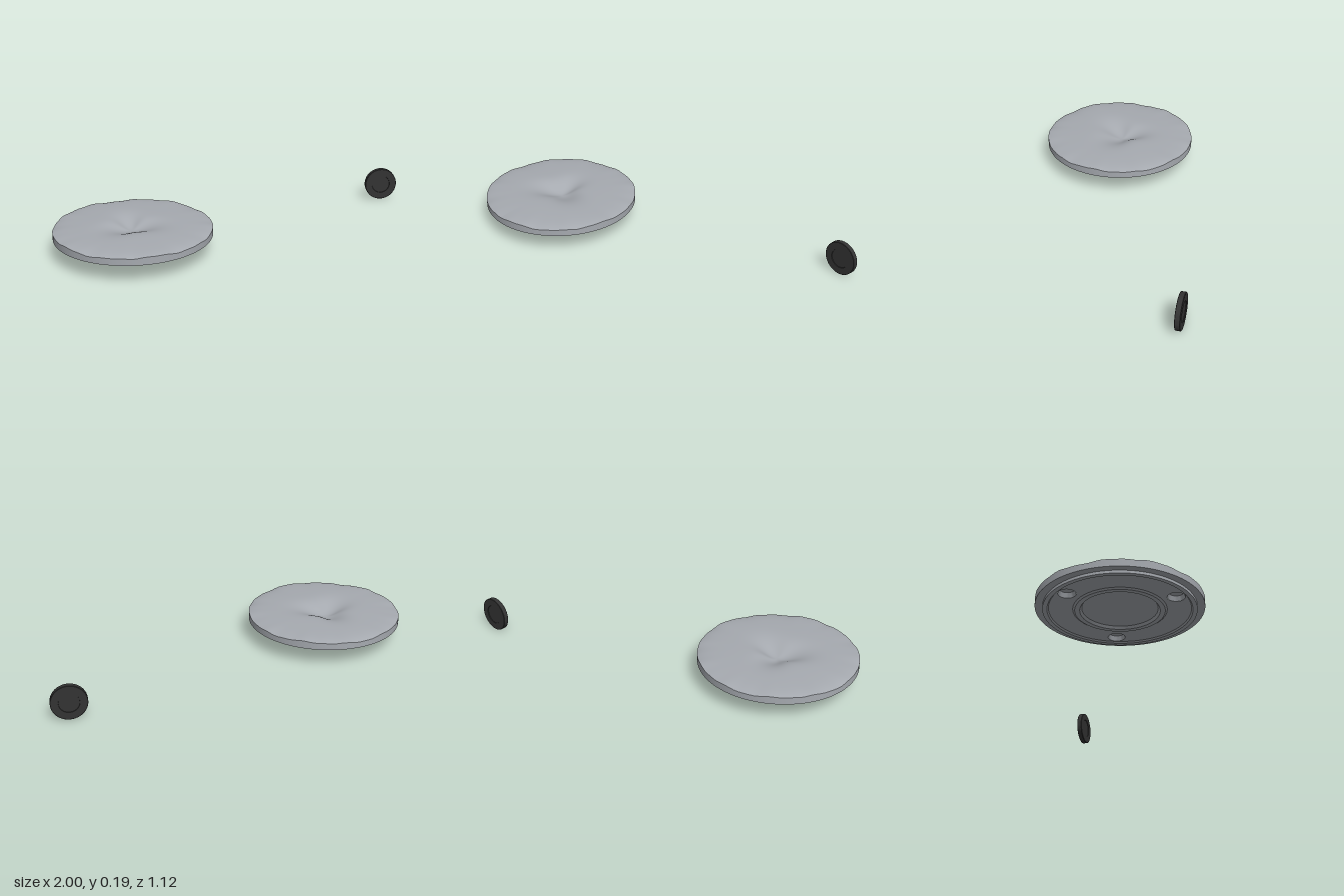
import * as THREE from 'three';
import { toCreasedNormals } from 'three/addons/utils/BufferGeometryUtils.js';

const R = 0.423;        // coaster radius
const FLOOR = 0.093;    // height of the underside floor
const SEG = 96;

const lathe = (points, seg = SEG) =>
  new THREE.LatheGeometry(points.map(([r, y]) => new THREE.Vector2(r, y)), seg);

// Height of the hand-worn top: shallow dome, ragged rim, off-centre dent
function topHeight(x, z) {
  const r = Math.hypot(x, z) / R;
  const a = Math.atan2(z, x);
  const dome = 0.16 - 0.013 * r ** 2 - 0.010 * r ** 12;
  const ragged = r ** 8 * (0.003 * Math.sin(5 * a + 1) + 0.0025 * Math.sin(11 * a) + 0.0015 * Math.sin(23 * a));
  const dx = x + 0.01, dz = z + 0.015;
  const da = Math.atan2(dz, dx);
  const size = 0.11 + 0.022 * Math.cos(3 * da - 0.9) + 0.012 * Math.sin(da);
  return dome + ragged - 0.05 * Math.exp(-((Math.hypot(dx, dz) / size) ** 2));
}

// Moves every vertex above the given height onto the worn top
function wear(geometry, above) {
  const p = geometry.attributes.position;
  for (let i = 0; i < p.count; i++) {
    if (p.getY(i) > above) p.setY(i, topHeight(p.getX(i), p.getZ(i)));
  }
  geometry.computeVertexNormals();
  return geometry;
}

export function createModel() {
  const model = new THREE.Group();
  const stone = new THREE.MeshStandardMaterial({ color: 0xa6aab0 });
  stone.name = 'grey stone';
  const black = new THREE.MeshStandardMaterial({ color: 0x333333 });
  black.name = 'black';

  const add = (parent, name, geometry, material) => {
    const mesh = new THREE.Mesh(geometry, material);
    mesh.name = name;
    parent.add(mesh);
    return mesh;
  };

  // Large round plate
  const plate = new THREE.Group();
  plate.name = 'plate';
  plate.position.set(-0.577, 0, 0.137);
  model.add(plate);

  // Worn top, laid in rings from the rim to the middle
  const rings = [];
  for (let i = 0; i <= 36; i++) rings.push([R * (1 - i / 36), 0.15]);
  add(plate, 'wornTop', wear(lathe(rings), 0), stone);

  // Side wall, step and foot ring
  const side = lathe([[0.355, FLOOR], [0.362, 0.085], [0.385, 0.085], [0.385, 0.1], [R, 0.1], [R, 0.14]]);
  add(plate, 'sideAndFootRing', toCreasedNormals(wear(side, 0.12), 0.4), stone);

  // Central recess with a raised lip
  const recess = lathe([[0, 0.1], [0.19, 0.1], [0.2, 0.086], [0.225, 0.086], [0.235, FLOOR]]);
  add(plate, 'centreRecess', toCreasedNormals(recess, 0.4), stone);

  // Underside floor, pierced for the recess and three sockets
  const floor = new THREE.Shape().absarc(0, 0, 0.355, 0, Math.PI * 2);
  const pierce = (x, z, r) => floor.holes.push(new THREE.Path().absarc(x, z, r, 0, Math.PI * 2, true));
  pierce(0, 0, 0.235);
  for (const degrees of [100, 220, 340]) {
    const a = THREE.MathUtils.degToRad(degrees);
    const x = 0.306 * Math.cos(a), z = 0.306 * Math.sin(a);
    pierce(x, z, 0.045);
    const socket = lathe([[0, 0.118], [0.036, 0.118], [0.045, FLOOR]], 32);
    add(plate, 'socket', toCreasedNormals(socket, 0.5), stone).position.set(x, 0, z);
  }
  add(plate, 'undersideFloor', new THREE.ShapeGeometry(floor, 48).rotateX(Math.PI / 2).translate(0, FLOOR, 0), stone);

  // Small upright disc with a shallow dish on both faces
  const h = 0.014;
  const disc = lathe([
    [0, -h + 0.003], [0.052, -h + 0.003], [0.053, -h], [0.091, -h], [0.093, -h + 0.002],
    [0.093, h - 0.002], [0.091, h], [0.053, h], [0.052, h - 0.003], [0, h - 0.003],
  ], 64).rotateX(Math.PI / 2);
  add(model, 'smallDisc', toCreasedNormals(disc, 0.4), black).position.set(0.907, 0.093, -0.549);

  return model;
}
